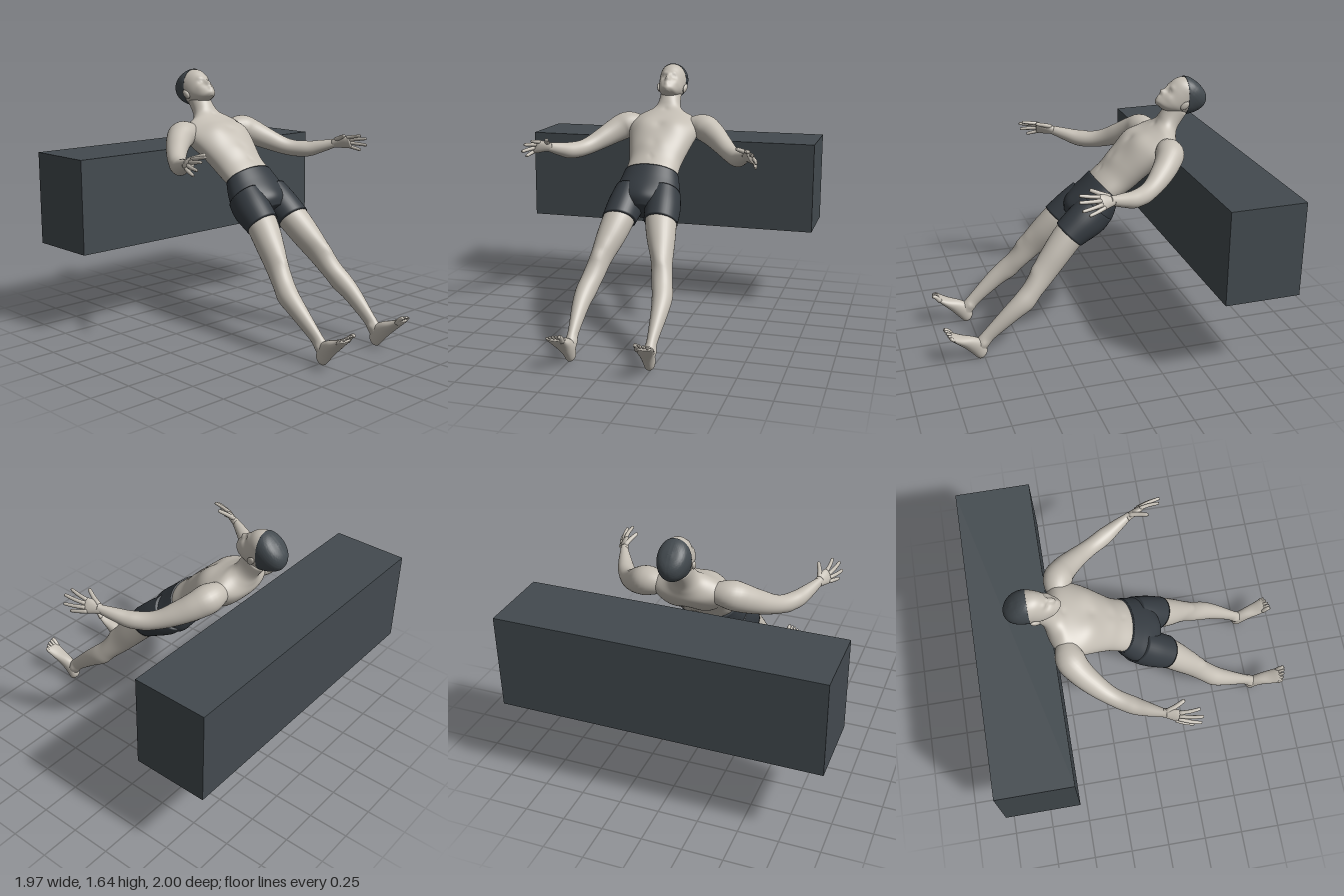
import * as THREE from 'three';
import { toCreasedNormals } from 'three/addons/utils/BufferGeometryUtils.js';

const skin = new THREE.MeshStandardMaterial({ color: 0xc4beb4 });
skin.name = 'skin';
const cloth = new THREE.MeshStandardMaterial({ color: 0x353b41 });
cloth.name = 'dark cloth';
const slate = new THREE.MeshStandardMaterial({ color: 0x434a4f });
slate.name = 'slate';

const V = (x, y, z) => new THREE.Vector3(x, y, z);
const UP = V(0, 1, 0), RIGHT = V(1, 0, 0), FORWARD = V(0, 0, 1);

function add(parent, name, geometry, material) {
  const mesh = new THREE.Mesh(geometry, material);
  mesh.name = name;
  parent.add(mesh);
  return mesh;
}

// Smooth body through elliptical rings [x, y, z, radius along side, radius across].
// A fixed axis keeps every ring parallel; otherwise rings follow the path.
function loft(rings, side, axis = null, segments = 32, perRing = 5) {
  const path = new THREE.CatmullRomCurve3(rings.map(r => V(r[0], r[1], r[2])), false, 'catmullrom');
  const size = new THREE.CatmullRomCurve3(rings.map(r => V(r[3], r[4], 0)), false, 'catmullrom');
  const n = (rings.length - 1) * perRing, pos = [], index = [];
  const first = rings[0], last = rings[rings.length - 1];
  const along = axis && axis.clone().multiplyScalar(
    Math.sign(axis.dot(V(last[0] - first[0], last[1] - first[1], last[2] - first[2]))));
  for (let i = 0; i <= n; i++) {
    const c = path.getPoint(i / n), r = size.getPoint(i / n), T = along || path.getTangent(i / n);
    const S = side.clone().addScaledVector(T, -side.dot(T)).normalize();
    const D = T.clone().cross(S);
    for (let j = 0; j < segments; j++) {
      const a = j / segments * Math.PI * 2;
      const p = c.clone().addScaledVector(S, Math.cos(a) * r.x).addScaledVector(D, Math.sin(a) * r.y);
      pos.push(p.x, p.y, p.z);
    }
  }
  for (let i = 0; i < n; i++) for (let j = 0; j < segments; j++) {
    const k = (j + 1) % segments, a = i * segments, b = a + segments;
    index.push(a + j, a + k, b + j, a + k, b + k, b + j);
  }
  // End caps
  const m = pos.length / 3;
  pos.push(first[0], first[1], first[2], last[0], last[1], last[2]);
  for (let j = 0; j < segments; j++) {
    const k = (j + 1) % segments;
    index.push(m, k, j, m + 1, n * segments + j, n * segments + k);
  }
  const g = new THREE.BufferGeometry();
  g.setAttribute('position', new THREE.Float32BufferAttribute(pos, 3));
  g.setIndex(index);
  g.computeVertexNormals();
  return g;
}

// Raises or sinks soft bumps [x, y, z, radius, height] along the surface normals
function sculpt(g, bumps) {
  const p = g.attributes.position, n = g.attributes.normal;
  for (let i = 0; i < p.count; i++) {
    const v = V().fromBufferAttribute(p, i);
    let h = 0;
    for (const [x, y, z, r, height] of bumps) h += height * Math.exp(-v.distanceToSquared(V(x, y, z)) / (r * r));
    v.addScaledVector(V().fromBufferAttribute(n, i), h);
    p.setXYZ(i, v.x, v.y, v.z);
  }
  g.computeVertexNormals();
  return g;
}

const bothSides = bumps => bumps.flatMap(([x, ...rest]) => [[x, ...rest], [-x, ...rest]]);

// Tapered digit with a rounded tip
function digit(parent, name, from, mid, to, r) {
  const end = to.map((v, i) => v + (v - mid[i]) * 0.1);
  add(parent, name, loft([[...from, r * 1.1, r * 1.1], [...mid, r, r], [...to, r * 0.8, r * 0.8],
    [...end, r * 0.2, r * 0.2]], V(0.3, 1, 0.2), null, 10, 3), skin);
}

function buildHead(figure) {
  const head = new THREE.Group();
  head.name = 'head';
  head.position.set(0, 1.513, 0.641);
  figure.add(head);
  const skull = () => loft([
    [0, -0.147, 0.068, 0.02, 0.025], [0, -0.128, 0.05, 0.052, 0.06], [0, -0.09, 0.02, 0.073, 0.093],
    [0, -0.05, 0, 0.083, 0.11], [0, 0, -0.012, 0.089, 0.127], [0, 0.05, -0.02, 0.091, 0.127],
    [0, 0.09, -0.024, 0.079, 0.104], [0, 0.113, -0.026, 0.052, 0.068], [0, 0.123, -0.028, 0.01, 0.014],
  ], RIGHT, UP, 72, 7);
  // Face: nose, lips and chin, then paired brows, eye sockets, lids and cheekbones
  add(head, 'face', sculpt(skull(), [
    [0, -0.03, 0.115, 0.014, 0.01], [0, -0.052, 0.112, 0.014, 0.014], [0, -0.071, 0.112, 0.015, 0.022],
    [0, -0.1, 0.11, 0.014, 0.008], [0, -0.113, 0.105, 0.012, 0.006], [0, -0.134, 0.1, 0.02, 0.006],
    ...bothSides([[0.034, -0.012, 0.105, 0.018, 0.005], [0.033, -0.036, 0.1, 0.017, -0.009],
      [0.033, -0.036, 0.1, 0.009, 0.006], [0.05, -0.066, 0.08, 0.024, 0.004]]),
  ]), skin);

  // Swim cap: enlarged skull flattened against a slanted plane behind the ears
  const cap = skull().scale(1.03, 1.03, 1.03), p = cap.attributes.position;
  for (let i = 0; i < p.count; i++) {
    const over = (p.getZ(i) - p.getY(i) + 0.02) / 2;
    if (over > 0) p.setXYZ(i, p.getX(i) * 0.98, p.getY(i) + over, p.getZ(i) - over);
  }
  cap.computeVertexNormals();
  add(head, 'cap', toCreasedNormals(cap, 0.8), slate);

  for (const s of [1, -1]) {
    const ear = add(head, 'ear', new THREE.SphereGeometry(1, 24, 16).scale(0.012, 0.034, 0.021), skin);
    ear.position.set(s * 0.092, -0.038, -0.018);
    ear.rotation.z = -s * 0.2;
  }
}

function buildTorso(figure) {
  // Chest, shoulder blades, breastbone, spine and navel are sculpted in
  add(figure, 'torso', sculpt(loft([
    [0, 0.73, 0.62, 0.163, 0.098], [0, 0.77, 0.62, 0.17, 0.105], [0, 0.86, 0.606, 0.172, 0.114],
    [0, 0.95, 0.603, 0.19, 0.12], [0, 1.05, 0.598, 0.215, 0.121], [0, 1.13, 0.585, 0.232, 0.12],
    [0, 1.2, 0.567, 0.232, 0.11], [0, 1.255, 0.562, 0.2, 0.096], [0, 1.3, 0.575, 0.115, 0.08],
    [0, 1.35, 0.594, 0.077, 0.073], [0, 1.45, 0.613, 0.068, 0.074],
  ], RIGHT, UP, 72), [
    [0, 1.1, 0.715, 0.03, -0.008], [0, 0.95, 0.722, 0.03, -0.004], [0, 0.835, 0.72, 0.014, -0.007],
    [0, 1.1, 0.465, 0.04, -0.01], [0, 0.95, 0.48, 0.04, -0.01], [0, 1.27, 0.65, 0.02, -0.006],
    ...bothSides([[0.1, 1.11, 0.69, 0.075, 0.014], [0.12, 1.13, 0.48, 0.075, 0.013],
      [0.06, 0.88, 0.49, 0.06, 0.005], [0.05, 0.93, 0.72, 0.05, 0.004]]),
  ]), skin);
  add(figure, 'shorts', sculpt(loft([
    [0, 0.768, 0.621, 0.177, 0.113], [0, 0.69, 0.606, 0.198, 0.129], [0, 0.6, 0.606, 0.214, 0.13],
    [0, 0.53, 0.612, 0.185, 0.115], [0, 0.485, 0.615, 0.1, 0.08],
  ], RIGHT, UP, 72, 8), [
    [0, 0.6, 0.47, 0.03, -0.022], [0, 0.54, 0.72, 0.06, 0.008], ...bothSides([[0.092, 0.615, 0.49, 0.075, 0.026]]),
  ]), cloth);
}

function buildLeg(figure, s) {
  const leg = new THREE.Group();
  leg.name = s > 0 ? 'leftLeg' : 'rightLeg';
  figure.add(leg);
  add(leg, 'shortsLeg', sculpt(loft([
    [s * 0.113, 0.64, 0.605, 0.1, 0.118], [s * 0.122, 0.53, 0.612, 0.112, 0.121],
    [s * 0.135, 0.403, 0.633, 0.107, 0.104],
  ], RIGHT, UP, 40, 10), [[s * 0.1, 0.58, 0.49, 0.07, 0.015]]), cloth);
  add(leg, 'bareLeg', sculpt(loft([
    [s * 0.132, 0.46, 0.628, 0.098, 0.095], [s * 0.14, 0.39, 0.632, 0.099, 0.096],
    [s * 0.163, 0.27, 0.626, 0.088, 0.092], [s * 0.194, 0.13, 0.614, 0.067, 0.081],
    [s * 0.22, 0, 0.603, 0.065, 0.066], [s * 0.24, -0.1, 0.603, 0.061, 0.066],
    [s * 0.246, -0.21, 0.614, 0.05, 0.057], [s * 0.243, -0.38, 0.623, 0.032, 0.043],
    [s * 0.242, -0.44, 0.62, 0.033, 0.044], [s * 0.242, -0.5, 0.614, 0.033, 0.046],
  ], RIGHT, UP), [
    [s * 0.2, 0.105, 0.69, 0.032, 0.009], [s * 0.165, 0.18, 0.68, 0.035, 0.005],
    [s * 0.265, -0.07, 0.55, 0.05, 0.005], [s * 0.205, -0.1, 0.56, 0.045, 0.004],
    [s * 0.212, -0.44, 0.625, 0.018, 0.007], [s * 0.272, -0.455, 0.62, 0.018, 0.007],
  ]), skin);
  add(leg, 'foot', loft([
    [s * 0.243, -0.512, 0.549, 0.014, 0.018], [s * 0.243, -0.509, 0.567, 0.031, 0.041],
    [s * 0.244, -0.494, 0.625, 0.036, 0.054], [s * 0.249, -0.5, 0.69, 0.041, 0.046],
    [s * 0.257, -0.519, 0.76, 0.049, 0.029], [s * 0.264, -0.53, 0.815, 0.053, 0.018],
    [s * 0.265, -0.534, 0.835, 0.047, 0.011],
  ], RIGHT, FORWARD), skin);
  for (let i = 0; i < 5; i++) {
    const x = s * (0.223 + i * 0.0215), tip = 0.868 - i * i * 0.0022, r = i ? 0.0095 : 0.014;
    digit(leg, 'toe', [x, -0.531, 0.805], [x, -0.526, tip - 0.025], [x, -0.533, tip], r);
  }
}

function buildArm(model, s) {
  const arm = new THREE.Group();
  arm.name = s > 0 ? 'leftArm' : 'rightArm';
  model.add(arm);
  add(arm, 'armMuscle', sculpt(loft([
    [s * 0.13, 1.245, -0.455, 0.05, 0.05], [s * 0.25, 1.247, -0.445, 0.086, 0.088],
    [s * 0.325, 1.215, -0.405, 0.084, 0.08], [s * 0.41, 1.16, -0.325, 0.067, 0.066],
    [s * 0.49, 1.115, -0.225, 0.055, 0.054], [s * 0.555, 1.105, -0.12, 0.052, 0.053],
    [s * 0.6, 1.125, -0.04, 0.043, 0.042], [s * 0.643, 1.15, 0.045, 0.03, 0.026],
    [s * 0.655, 1.157, 0.07, 0.028, 0.022],
  ], UP), [
    [s * 0.4, 1.22, -0.29, 0.05, 0.005], [s * 0.53, 1.075, -0.2, 0.025, 0.006],
    [s * 0.58, 1.15, -0.13, 0.04, 0.004],
  ]), skin);
  add(arm, 'palm', loft([
    [s * 0.643, 1.15, 0.045, 0.029, 0.025], [s * 0.66, 1.158, 0.085, 0.039, 0.022],
    [s * 0.678, 1.162, 0.125, 0.046, 0.019], [s * 0.689, 1.166, 0.155, 0.04, 0.012],
  ], V(-0.4 * s, 1, 0.4), null, 24), skin);
  // Knuckle and tip of each finger, index to little finger, then the thumb
  const fingers = [
    [[0.672, 1.195, 0.155], [0.675, 1.217, 0.25]], [[0.688, 1.178, 0.152], [0.718, 1.195, 0.262]],
    [[0.698, 1.158, 0.145], [0.74, 1.15, 0.25]], [[0.698, 1.138, 0.13], [0.731, 1.115, 0.208]],
    [[0.645, 1.178, 0.085], [0.61, 1.216, 0.17]],
  ];
  fingers.forEach(([a, b], i) => {
    const from = [a[0] * s, a[1], a[2] - 0.02], to = [b[0] * s, b[1], b[2]];
    const mid = from.map((v, k) => (v + to[k]) / 2);
    mid[0] += s * 0.004;
    digit(arm, i < 4 ? 'finger' : 'thumb', from, mid, to, i < 4 ? 0.0115 : 0.014);
  });
}

export function createModel() {
  const model = new THREE.Group();
  model.name = 'recliningSwimmer';

  // Long block behind the figure
  add(model, 'block', new THREE.BoxGeometry(1.97, 0.59, 0.47), slate).position.set(0, 0.852, -0.765);

  // Upright body leaned back by 45 degrees
  const figure = new THREE.Group();
  figure.name = 'figure';
  figure.rotation.x = -Math.PI / 4;
  model.add(figure);
  buildHead(figure);
  buildTorso(figure);
  for (const s of [1, -1]) {
    buildLeg(figure, s);
    buildArm(model, s);
  }
  return model;
}
